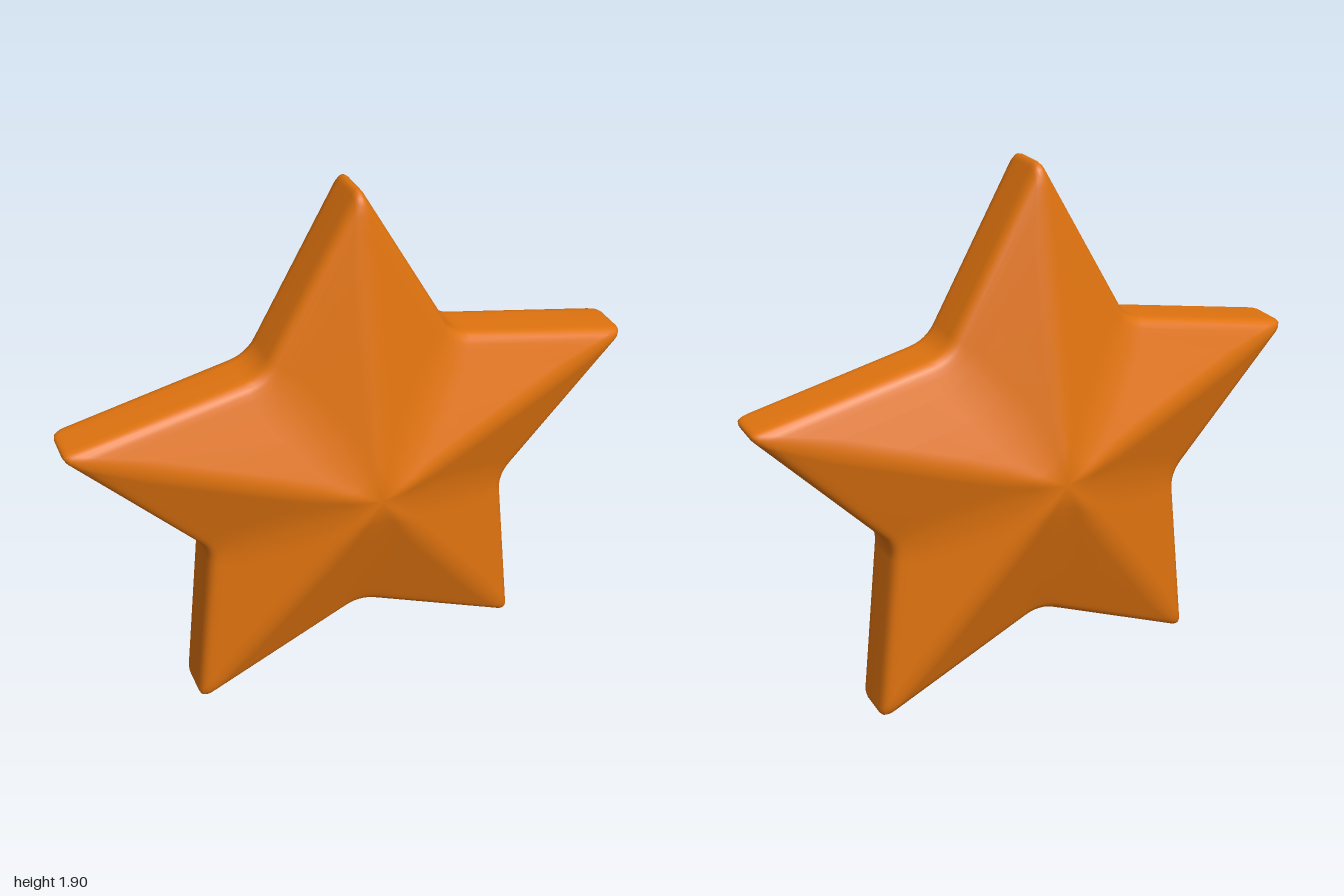
import * as THREE from 'three';
import { mergeVertices } from 'three/addons/utils/BufferGeometryUtils.js';

const TIP = 1.068, NOTCH = 0.58, CENTRE_Y = 0.854, STEPS = 6;

// Half cross-section from the front apex to the rim: [scale of outline, z]
const face = [0, 0.03, 0.06, 0.1, 0.15, 0.25, 0.4, 0.6, 0.8, 0.9, 0.94]
  .map(t => [t, t < 0.15 ? 0.274 - 0.6 * t * t : 0.29 - 0.2 * t]);
const rim = [[0.965, 0.095], [0.985, 0.085], [0.996, 0.07], [1, 0.05]];
const half = [...face, ...rim];
const profile = [...half, ...half.slice().reverse().map(([t, z]) => [t, -z])];

// Five-pointed outline at scale t, every corner rounded by a curve
function outline(t) {
  const corners = [];
  for (let i = 0; i < 10; i++) {
    const a = Math.PI / 2 + i * Math.PI / 5;
    const r = (i % 2 ? NOTCH : TIP) * t;
    corners.push(new THREE.Vector2(Math.cos(a) * r, Math.sin(a) * r));
  }
  const soft = Math.min(1, (1 - t) / 0.2);
  const points = [];
  corners.forEach((p, i) => {
    const prev = corners[(i + 9) % 10], next = corners[(i + 1) % 10];
    const side = p.distanceTo(next);
    const cut = Math.min(0.45 * side, i % 2 ? 0.06 + 0.04 * soft : 0.04 + 0.05 * soft);
    const k = side > 0 ? cut / side : 0;
    const curve = new THREE.QuadraticBezierCurve(p.clone().lerp(prev, k), p, p.clone().lerp(next, k));
    points.push(...curve.getPoints(STEPS));
  });
  return points;
}

// Skin the outlines from the front apex, around the rim, to the back apex
function starGeometry() {
  const positions = [], index = [];
  const n = 10 * (STEPS + 1);
  profile.forEach(([t, z], i) => {
    outline(t).forEach((p, j) => {
      positions.push(p.x, p.y, z);
      if (i === profile.length - 1) return;
      const k = (j + 1) % n;
      const a = i * n + j, b = a + n, c = (i + 1) * n + k, d = i * n + k;
      if (profile[i + 1][0] > 0) index.push(a, b, c);
      if (t > 0) index.push(a, c, d);
    });
  });
  const geometry = new THREE.BufferGeometry();
  geometry.setAttribute('position', new THREE.Float32BufferAttribute(positions, 3));
  geometry.setIndex(index);
  const merged = mergeVertices(geometry, 1e-5);
  merged.computeVertexNormals();
  return merged;
}

export function createModel() {
  const orange = new THREE.MeshStandardMaterial({ color: 0xe0730f });
  orange.name = 'orange';
  const star = new THREE.Mesh(starGeometry(), orange);
  star.name = 'star';
  star.position.y = CENTRE_Y;
  const group = new THREE.Group();
  group.name = 'facetedStar';
  group.add(star);
  return group;
}
